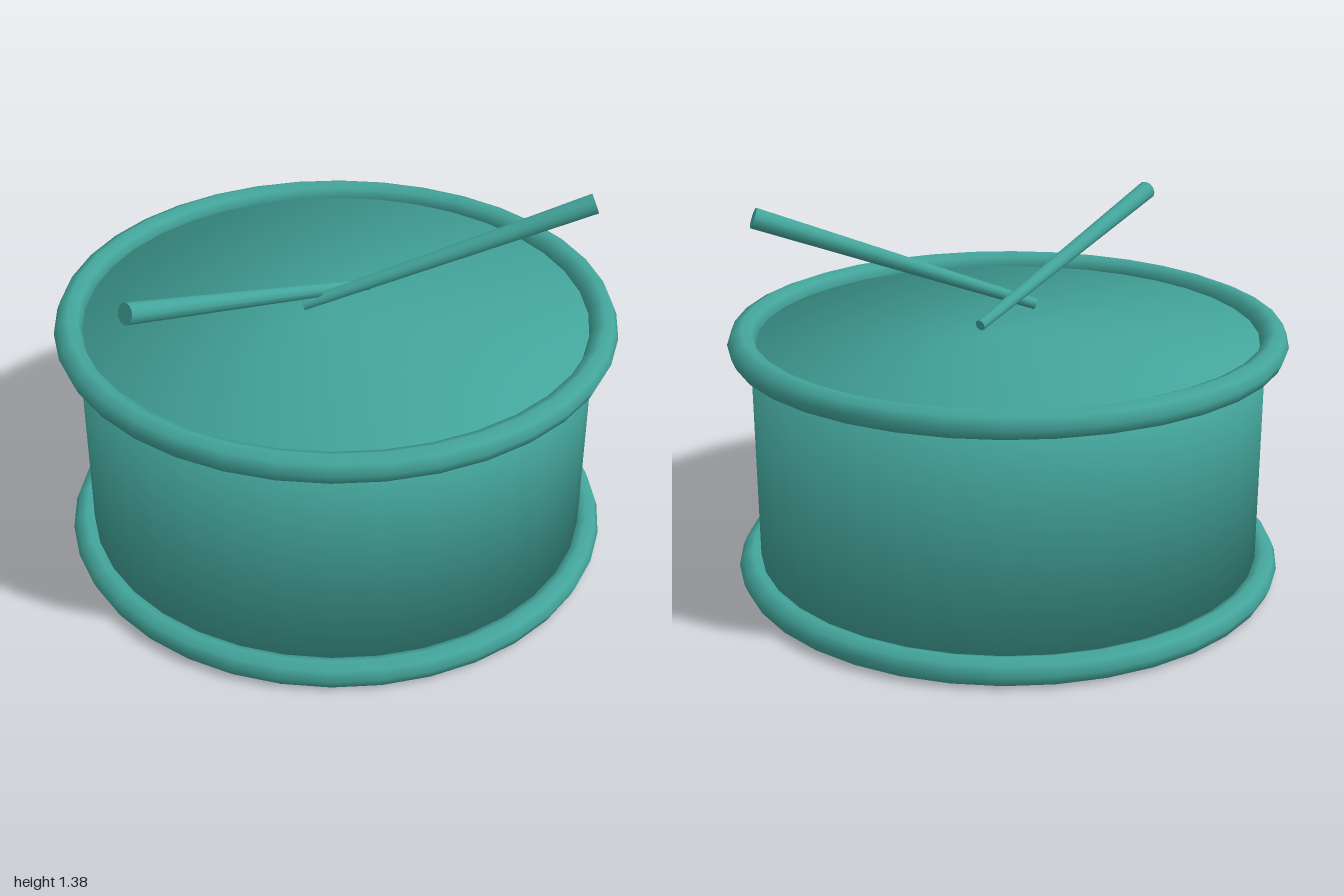
import * as THREE from 'three';

const teal = new THREE.MeshStandardMaterial({ color: 0x43a59b });
teal.name = 'teal';

function addPart(group, name, geometry) {
  const mesh = new THREE.Mesh(geometry, teal);
  mesh.name = name;
  group.add(mesh);
  return mesh;
}

// Tapered stick running from its thin tip to its thick butt
function addStick(group, name, tip, butt) {
  const dir = butt.clone().sub(tip);
  const stick = addPart(group, name, new THREE.CylinderGeometry(0.037, 0.02, dir.length(), 12));
  stick.position.copy(tip).addScaledVector(dir, 0.5);
  stick.quaternion.setFromUnitVectors(new THREE.Vector3(0, 1, 0), dir.normalize());
}

export function createModel() {
  const drum = new THREE.Group();
  drum.name = 'drum';
  const bottom = 0.05, top = 0.9, radius = 0.92;

  // Shell and both drum heads, one softly shaded revolved skin
  const profile = [[0, bottom], [radius, bottom], [radius, top], [0, top]]
    .map(([r, y]) => new THREE.Vector2(r, y));
  addPart(drum, 'shell', new THREE.LatheGeometry(profile, 36));

  // Hoops around the top and bottom edges
  for (const [name, y] of [['bottomHoop', bottom], ['topHoop', top]]) {
    const hoop = new THREE.TorusGeometry(0.95, 0.05, 8, 36);
    hoop.rotateX(Math.PI / 2);
    addPart(drum, name, hoop).position.y = y;
  }

  // Crossed drumsticks resting on the head
  addStick(drum, 'rightStick', new THREE.Vector3(0.14, 0.958, -0.05), new THREE.Vector3(-0.83, 1.257, 0.37));
  addStick(drum, 'leftStick', new THREE.Vector3(-0.135, 0.975, 0.04), new THREE.Vector3(0.826, 1.348, 0.322));

  return drum;
}
